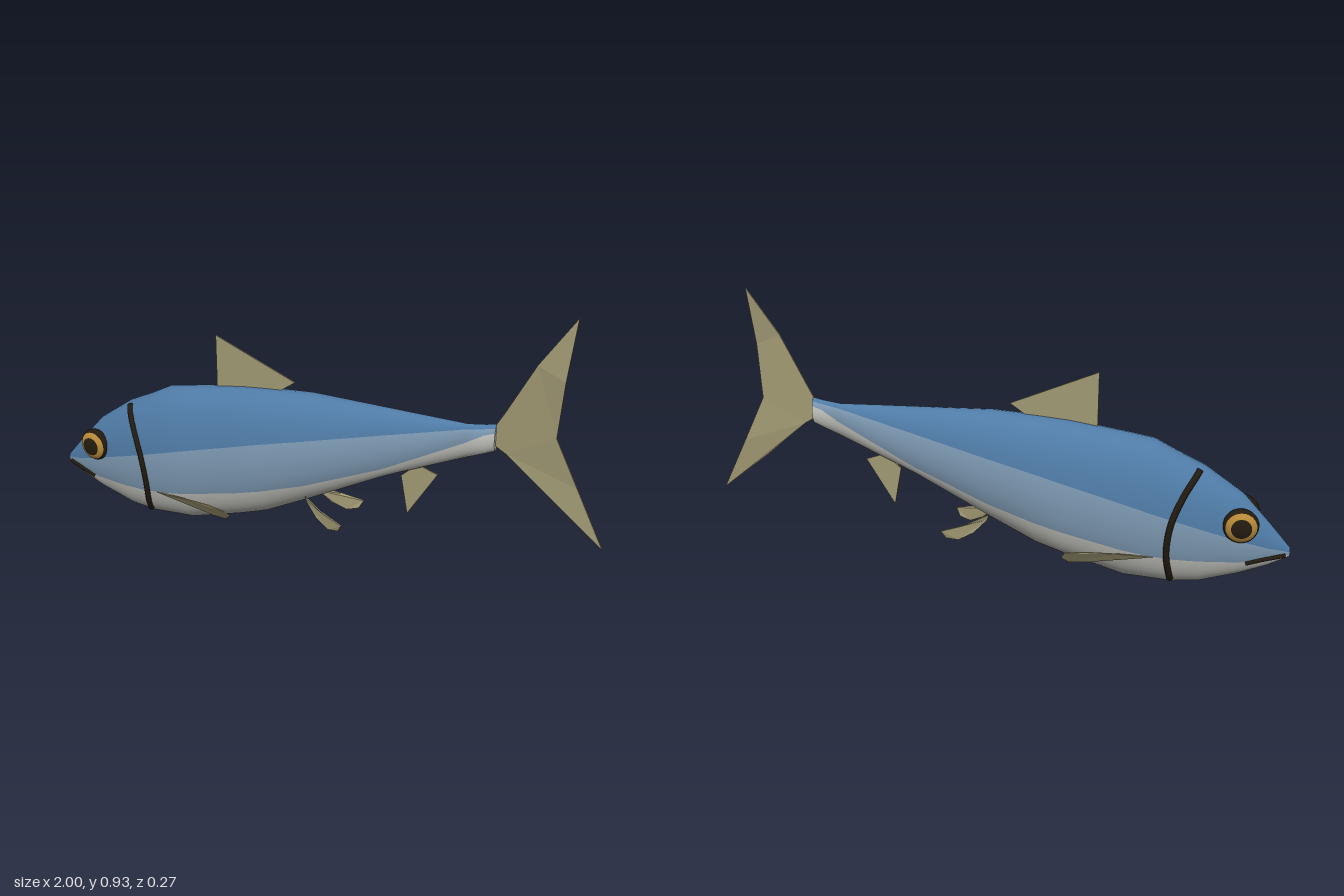
import * as THREE from 'three';

const mat = (name, color, double) => {
  const m = new THREE.MeshStandardMaterial({ color });
  m.name = name;
  if (double) m.side = THREE.DoubleSide;
  return m;
};

// Body stations: x, top, bottom, half width, back/flank line, flank/belly line
const STATIONS = [
  [-1, 0.16, 0.13, 0.008, 0.148, 0.14],
  [-0.93, 0.24, 0.092, 0.034, 0.165, 0.125],
  [-0.84, 0.337, 0.055, 0.066, 0.195, 0.115],
  [-0.71, 0.425, 0.013, 0.09, 0.235, 0.115],
  [-0.62, 0.465, 0.003, 0.104, 0.262, 0.118],
  [-0.54, 0.505, 0.007, 0.11, 0.285, 0.125],
  [-0.46, 0.517, 0.01, 0.114, 0.308, 0.138],
  [-0.26, 0.545, 0.065, 0.116, 0.36, 0.18],
  [-0.16, 0.552, 0.097, 0.113, 0.385, 0.205],
  [0, 0.56, 0.175, 0.1, 0.42, 0.25],
  [0.27, 0.55, 0.31, 0.063, 0.475, 0.35],
  [0.54, 0.54, 0.425, 0.03, 0.528, 0.485],
  [0.6, 0.548, 0.448, 0.022, 0.537, 0.518],
  [0.635, 0.555, 0.463, 0.022, 0.545, 0.53],
];

// Half width of the body at a given x and y
function surfaceZ(x, y) {
  let i = 0;
  while (i < STATIONS.length - 2 && STATIONS[i + 1][0] < x) i++;
  const a = STATIONS[i], b = STATIONS[i + 1];
  const t = (x - a[0]) / (b[0] - a[0]);
  const [top, bottom, w] = [1, 2, 3].map((k) => a[k] + (b[k] - a[k]) * t);
  const s = (y - (top + bottom) / 2) / ((top - bottom) / 2);
  return w * Math.sqrt(Math.max(0, 1 - s * s));
}

// Elliptical loft whose columns follow the colour lines; bands become groups
function bodyGeometry() {
  const counts = [6, 14, 6, 16]; // flank, back, flank, belly
  const bandMaterial = [1, 0, 1, 2];
  const cols = counts.reduce((a, b) => a + b);
  const pos = [], index = [];
  for (const [x, top, bottom, w, y1, y2] of STATIONS) {
    const c = (top + bottom) / 2, h = (top - bottom) / 2;
    const angle = (y) => Math.asin(THREE.MathUtils.clamp((y - c) / h, -0.97, 0.97));
    const t1 = angle(y1), t2 = angle(y2);
    const marks = [t2, t1, Math.PI - t1, Math.PI - t2, 2 * Math.PI + t2];
    counts.forEach((n, b) => {
      for (let k = 0; k < n; k++) {
        const t = marks[b] + ((marks[b + 1] - marks[b]) * k) / n;
        pos.push(x, c + h * Math.sin(t), w * Math.cos(t));
      }
    });
  }
  const g = new THREE.BufferGeometry();
  let col = 0;
  counts.forEach((n, b) => {
    const start = index.length;
    for (let k = 0; k < n; k++, col++) {
      for (let i = 0; i < STATIONS.length - 1; i++) {
        const p = i * cols + col, q = i * cols + ((col + 1) % cols);
        index.push(p, p + cols, q + cols, p, q + cols, q);
      }
    }
    g.addGroup(start, index.length - start, bandMaterial[b]);
  });
  g.setAttribute('position', new THREE.Float32BufferAttribute(pos, 3));
  g.setIndex(index);
  g.computeVertexNormals();
  return g;
}

// Thin fin from a 3D outline: two faces and a rim
function finGeometry(points, t = 0.003) {
  let pts = points.map((p) => new THREE.Vector3(...p));
  if (THREE.ShapeUtils.isClockWise(pts)) pts = pts.reverse();
  const n = pts.length, pos = [];
  const put = (i, s) => pos.push(pts[i].x, pts[i].y, pts[i].z + s * t);
  for (const [a, b, c] of THREE.ShapeUtils.triangulateShape(pts, [])) {
    put(a, 1); put(b, 1); put(c, 1);
    put(a, -1); put(c, -1); put(b, -1);
  }
  for (let i = 0; i < n; i++) {
    const j = (i + 1) % n;
    put(i, 1); put(i, -1); put(j, -1);
    put(i, 1); put(j, -1); put(j, 1);
  }
  const g = new THREE.BufferGeometry();
  g.setAttribute('position', new THREE.Float32BufferAttribute(pos, 3));
  g.computeVertexNormals();
  return g;
}

export function createModel() {
  const fish = new THREE.Group();
  fish.name = 'fish';
  const back = mat('backBlue', 0x4f7ba6);
  const flank = mat('flankBlue', 0x7d99b2);
  const belly = mat('bellyWhite', 0xc3c3be);
  const finTan = mat('finTan', 0xa09973, true);
  const dark = mat('darkBrown', 0x221b10);
  const gold = mat('eyeGold', 0xb88a38);

  const add = (name, geometry, material, parent = fish) => {
    const m = new THREE.Mesh(geometry, material);
    m.name = name;
    parent.add(m);
    return m;
  };

  add('body', bodyGeometry(), [back, flank, belly]);

  // Closed ends of the body
  const ends = [['noseTip', STATIONS[0], -1, back], ['tailStump', STATIONS.at(-1), 1, belly]];
  for (const [name, [x, top, bottom, w], dir, m] of ends) {
    const cap = add(name, new THREE.CircleGeometry(1, 24).rotateY((dir * Math.PI) / 2), m);
    cap.scale.set(1, (top - bottom) / 2, w);
    cap.position.set(x, (top + bottom) / 2, 0);
  }

  // Fins on the centre line
  add('dorsalFin', finGeometry([[-0.355, 0.5, 0], [-0.355, 0.715, 0], [-0.06, 0.588, 0], [-0.13, 0.54, 0]]), finTan);
  add('analFin', finGeometry([[0.325, 0.32, 0], [0.35, 0.185, 0], [0.45, 0.345, 0], [0.38, 0.37, 0]]), finTan);
  add('tailFin', finGeometry([
    [0.62, 0.53, 0], [0.66, 0.6, 0.004], [0.75, 0.77, 0.008], [0.86, 0.93, 0],
    [0.84, 0.73, 0.015], [0.825, 0.54, 0.004], [0.9, 0.38, -0.005], [0.995, 0.19, 0],
    [0.82, 0.33, -0.005], [0.67, 0.46, 0], [0.62, 0.49, 0],
  ]), finTan);

  for (const side of [1, -1]) {
    const label = side > 0 ? 'left' : 'right';
    const mirror = (list) => list.map(([x, y, z]) => [x, y, side * z]);

    // Paired fins
    add(label + 'PectoralFin', finGeometry(mirror([
      [-0.565, 0.122, 0.092], [-0.45, 0.13, 0.112], [-0.34, 0.13, 0.124], [-0.275, 0.122, 0.13],
      [-0.262, 0.1, 0.118], [-0.285, 0.077, 0.098], [-0.34, 0.08, 0.094], [-0.46, 0.103, 0.094],
    ])), finTan);
    add(label + 'PelvicFin', finGeometry(mirror([
      [0, 0.2, 0.053], [0.08, 0.166, 0.085], [0.155, 0.145, 0.104],
      [0.14, 0.118, 0.094], [0.1, 0.11, 0.083], [0.05, 0.135, 0.068], [0.005, 0.18, 0.05],
    ])), finTan);

    // Gill slit and mouth line laid on the skin
    const line = (name, pts, r) => {
      const curve = new THREE.CatmullRomCurve3(
        pts.map(([x, y]) => new THREE.Vector3(x, y, side * surfaceZ(x, y))));
      const curvePts = curve.getPoints(24).map((p) => p.setZ(side * surfaceZ(p.x, p.y)));
      add(name, new THREE.TubeGeometry(new THREE.CatmullRomCurve3(curvePts), 40, r, 8), dark);
    };
    line(label + 'GillSlit', [[-0.695, 0.418], [-0.65, 0.34], [-0.617, 0.25], [-0.606, 0.145], [-0.62, 0.03]], 0.011);
    line(label + 'Mouth', [[-0.985, 0.137], [-0.92, 0.125], [-0.86, 0.11]], 0.008);

    // Eye: zones of one flattened sphere
    const eye = new THREE.Group();
    eye.name = label + 'Eye';
    eye.position.set(-0.837, 0.25, side * 0.062);
    eye.rotation.y = side > 0 ? -0.12 : Math.PI + 0.12;
    eye.scale.z = 0.6;
    const zones = [['pupil', 0, 0.6, dark], ['iris', 0.6, 1.03, gold], ['eyeRim', 1.03, Math.PI, dark]];
    for (const [name, from, to, m] of zones) {
      add(name, new THREE.SphereGeometry(0.059, 28, 8, 0, Math.PI * 2, from, to - from).rotateX(Math.PI / 2), m, eye);
    }
    fish.add(eye);
  }
  return fish;
}
